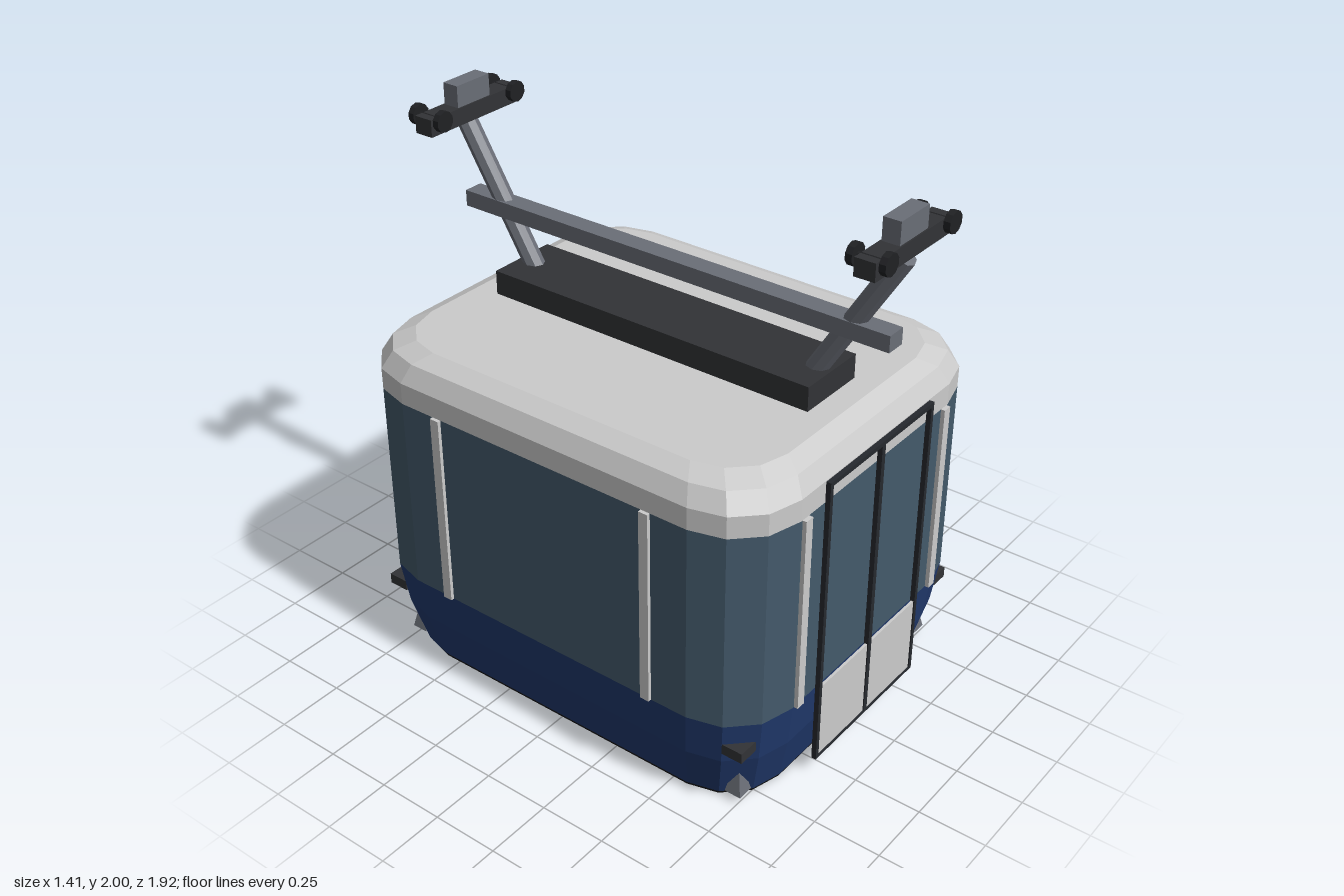
import * as THREE from 'three';

const paint = (color) => new THREE.MeshStandardMaterial({ color, flatShading: true });
const HX = 0.69, HZ = 0.855;

// Rounded rectangle ring, inset from the full cabin outline
function ring(y, inset, segs = 3) {
  const hx = HX - inset, hz = HZ - inset, r = 0.25 * (hx / HX);
  const pts = [];
  [[1, 1], [-1, 1], [-1, -1], [1, -1]].forEach(([sx, sz], q) => {
    for (let k = 0; k <= segs; k++) {
      const a = (q + k / segs) * Math.PI / 2;
      pts.push([sx * (hx - r) + r * Math.cos(a), y, sz * (hz - r) + r * Math.sin(a)]);
    }
  });
  return pts;
}

// Skin stacked rings of [y, inset], closing both ends
function loft(levels) {
  const rings = levels.map(([y, inset]) => ring(y, inset));
  const n = rings[0].length, pos = [];
  const tri = (...p) => p.forEach((v) => pos.push(...v));
  for (let i = 0; i < n; i++) {
    const j = (i + 1) % n;
    for (let s = 0; s + 1 < rings.length; s++) {
      const a = rings[s], b = rings[s + 1];
      tri(a[i], b[i], a[j]);
      tri(b[i], b[j], a[j]);
    }
    const top = rings[rings.length - 1], bottom = rings[0];
    tri([0, top[0][1], 0], top[j], top[i]);
    tri([0, bottom[0][1], 0], bottom[i], bottom[j]);
  }
  const geo = new THREE.BufferGeometry();
  geo.setAttribute('position', new THREE.Float32BufferAttribute(pos, 3));
  geo.computeVertexNormals();
  return geo;
}

export function createModel() {
  const model = new THREE.Group();
  model.name = 'cableCar';
  const light = paint(0xcccccc), blue = paint(0x213a6e), glass = paint(0x445a6b);
  const dark = paint(0x323336), black = paint(0x1a1b1d), steel = paint(0x6a6e77);
  const frame = paint(0x26292e), wheelMat = paint(0x202124);

  const add = (parent, name, geo, mat, x = 0, y = 0, z = 0) => {
    const mesh = new THREE.Mesh(geo, mat);
    mesh.name = name;
    mesh.position.set(x, y, z);
    parent.add(mesh);
    return mesh;
  };
  const box = (parent, name, mat, [w, h, d], [x, y, z]) =>
    add(parent, name, new THREE.BoxGeometry(w, h, d), mat, x, y, z);

  // Cabin shell
  add(model, 'basePlate', loft([[0, 0.075], [0.015, 0.068]]), black);
  add(model, 'lowerBody', loft([[0.015, 0.068], [0.2, 0.022], [0.37, 0]]), blue);
  add(model, 'windowBand', loft([[0.37, 0], [1.11, 0]]), glass);
  add(model, 'roof', loft([[1.11, 0], [1.19, 0], [1.255, 0.035], [1.285, 0.1]]), light);

  // Window pillars
  for (const s of [-1, 1]) for (const t of [-1, 1]) {
    box(model, 'endPillar', light, [0.036, 0.74, 0.04], [s * 0.415, 0.74, t * 0.85]);
    box(model, 'sidePillar', light, [0.04, 0.74, 0.036], [s * 0.683, 0.74, t * 0.445]);
  }

  // Double doors at both ends
  for (const t of [1, -1]) {
    const door = new THREE.Group();
    door.name = t > 0 ? 'frontDoor' : 'backDoor';
    door.rotation.y = t > 0 ? 0 : Math.PI;
    model.add(door);
    for (const s of [-1, 1]) {
      box(door, 'doorPanel', light, [0.285, 0.3, 0.01], [s * 0.151, 0.22, 0.865]);
      box(door, 'doorPost', frame, [0.016, 1.115, 0.018], [s * 0.302, 0.6275, 0.865]);
    }
    box(door, 'centrePost', frame, [0.02, 1.115, 0.018], [0, 0.6275, 0.865]);
    box(door, 'doorHeader', frame, [0.62, 0.016, 0.018], [0, 1.18, 0.865]);
    box(door, 'doorSill', frame, [0.62, 0.01, 0.018], [0, 0.07, 0.865]);
  }

  // Corner bumpers and guide feet
  for (const s of [-1, 1]) for (const t of [-1, 1]) {
    box(model, 'cornerBumper', dark, [0.08, 0.04, 0.08], [s * 0.605, 0.265, t * 0.76]);
    add(model, 'guideFoot', new THREE.ConeGeometry(0.045, 0.15, 4).rotateY(Math.PI / 4),
      steel, s * 0.558, 0.105, t * 0.728);
  }

  // Roof plinth and long beam
  box(model, 'roofPlinth', dark, [0.274, 0.09, 1.33], [0, 1.33, 0]);
  box(model, 'longBeam', steel, [0.075, 0.06, 1.775], [0, 1.56, 0]);

  // Leaning hangers with grip trolleys
  for (const t of [1, -1]) {
    const hanger = new THREE.Group();
    hanger.name = t > 0 ? 'frontHanger' : 'backHanger';
    hanger.rotation.y = t > 0 ? 0 : Math.PI;
    model.add(hanger);
    const a = new THREE.Vector3(0, 1.32, 0.575), b = new THREE.Vector3(0, 1.85, 0.9);
    const dir = b.clone().sub(a);
    const arm = add(hanger, 'arm', new THREE.CylinderGeometry(0.037, 0.037, dir.length(), 8), steel);
    arm.position.copy(a).add(b).multiplyScalar(0.5);
    arm.quaternion.setFromUnitVectors(new THREE.Vector3(0, 1, 0), dir.normalize());
    box(hanger, 'trolleyBar', dark, [0.44, 0.063, 0.075], [0, 1.889, 0.89]);
    box(hanger, 'gripBlock', steel, [0.16, 0.08, 0.064], [0, 1.96, 0.89]);
    for (const s of [-1, 1]) {
      add(hanger, 'axle', new THREE.CylinderGeometry(0.012, 0.012, 0.13, 8).rotateX(Math.PI / 2),
        wheelMat, s * 0.183, 1.91, 0.89);
      for (const e of [-1, 1]) {
        add(hanger, 'wheel', new THREE.CylinderGeometry(0.038, 0.038, 0.024, 10).rotateX(Math.PI / 2),
          wheelMat, s * 0.183, 1.911, 0.89 + e * 0.058);
      }
    }
  }
  return model;
}
